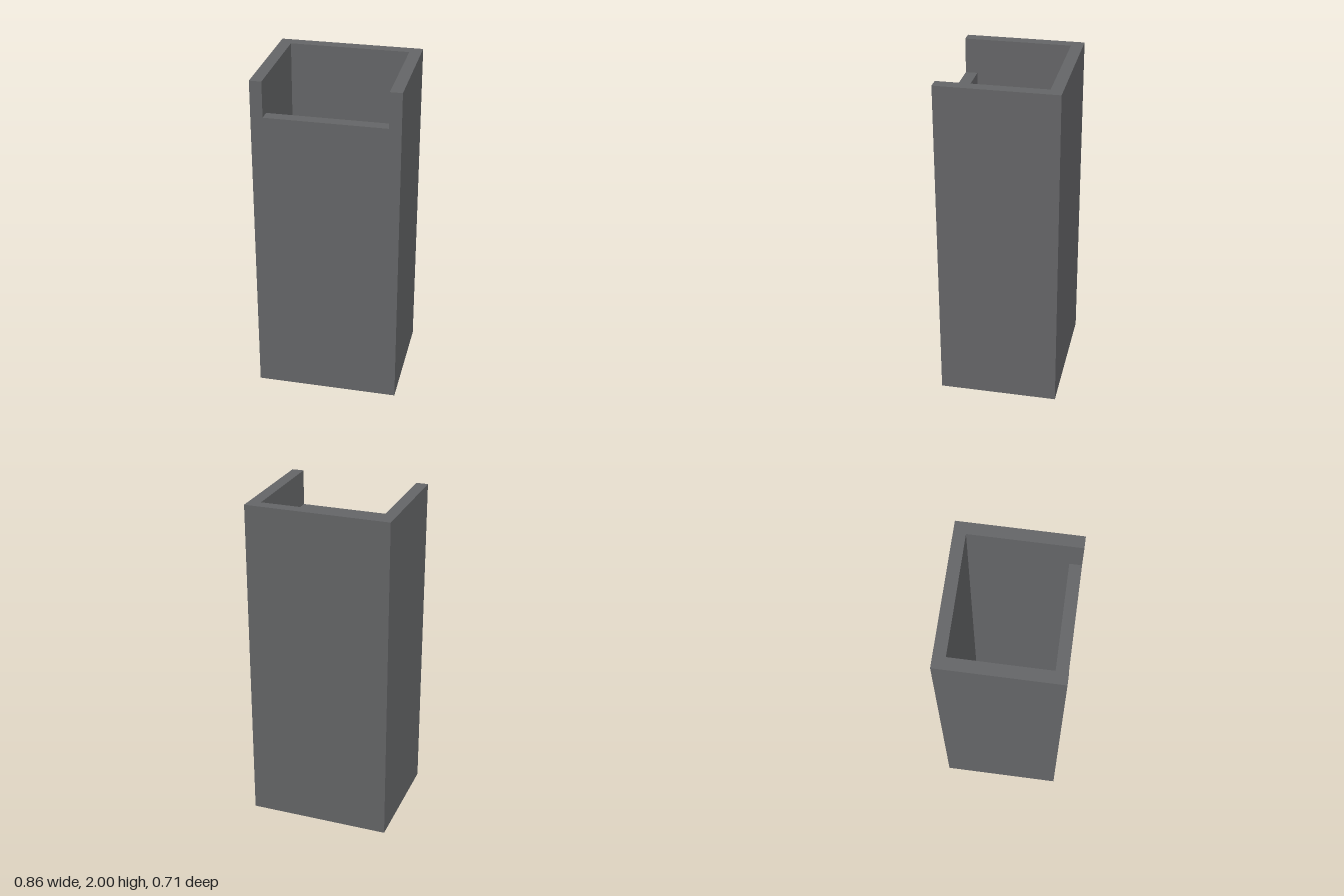
import * as THREE from 'three';

const HALF_W = 0.4286, HALF_D = 0.3571, WALL = 0.0714;
const HEIGHT = 2, FRONT_HEIGHT = 1.786;

export function createModel() {
  const group = new THREE.Group();
  group.name = 'openTube';

  const darkGrey = new THREE.MeshStandardMaterial({ color: 0x666769 });
  darkGrey.name = 'darkGrey';

  // Back and side walls: one U-shaped section, open to the front, raised to full height
  const inner = HALF_W - WALL;
  const section = new THREE.Shape([
    [-HALF_W, -HALF_D], [-inner, -HALF_D], [-inner, HALF_D - WALL], [inner, HALF_D - WALL],
    [inner, -HALF_D], [HALF_W, -HALF_D], [HALF_W, HALF_D], [-HALF_W, HALF_D],
  ].map(([x, y]) => new THREE.Vector2(x, y)));
  const wallGeometry = new THREE.ExtrudeGeometry(section, { depth: HEIGHT, bevelEnabled: false });
  wallGeometry.rotateX(-Math.PI / 2);
  const walls = new THREE.Mesh(wallGeometry, darkGrey);
  walls.name = 'backAndSideWalls';
  group.add(walls);

  // Shorter front wall, leaving a notch at the top
  const front = new THREE.Mesh(new THREE.BoxGeometry(inner * 2, FRONT_HEIGHT, WALL), darkGrey);
  front.name = 'frontWall';
  front.position.set(0, FRONT_HEIGHT / 2, HALF_D - WALL / 2);
  group.add(front);

  return group;
}
